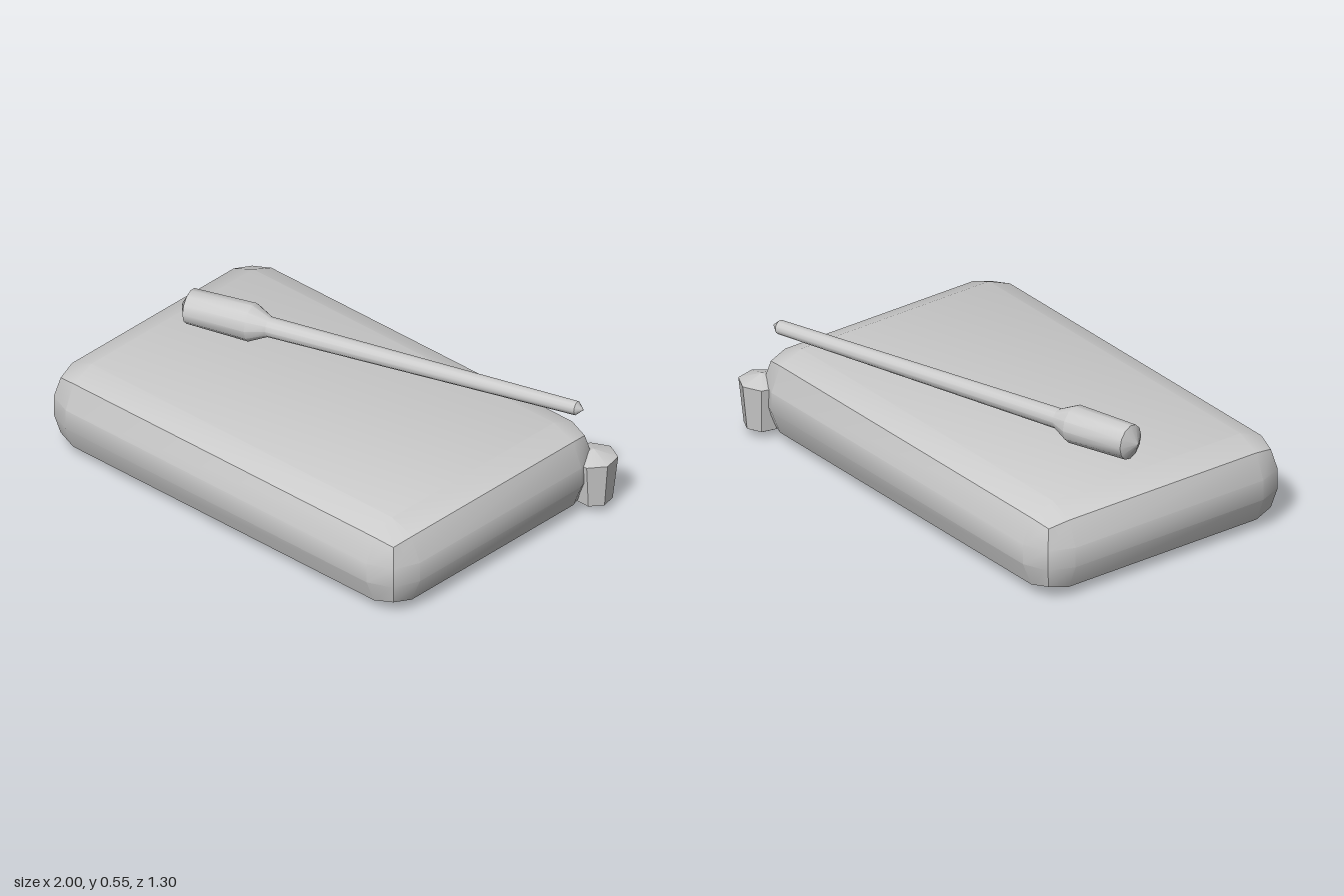
import * as THREE from 'three';
import { toCreasedNormals } from 'three/addons/utils/BufferGeometryUtils.js';
import { RoundedBoxGeometry } from 'three/addons/geometries/RoundedBoxGeometry.js';

// Turned solid from [radius, height] pairs, bottom to top, with sharp edges kept
function turned(profile, sides, start, crease) {
  const points = profile.map(([r, y]) => new THREE.Vector2(r, y));
  return toCreasedNormals(new THREE.LatheGeometry(points, sides, start), crease);
}

export function createModel() {
  const group = new THREE.Group();
  const grey = new THREE.MeshStandardMaterial({ color: 0xcccccc });
  grey.name = 'plain grey';

  const add = (name, geometry, x, y, z) => {
    const mesh = new THREE.Mesh(geometry, grey);
    mesh.name = name;
    mesh.position.set(x, y, z);
    group.add(mesh);
    return mesh;
  };

  // Slab with one bevel step on every edge
  const slab = new RoundedBoxGeometry(1.937, 0.387, 1.242, 1, 0.15);
  add('slab', toCreasedNormals(slab, Math.PI / 6), -0.031, 0.1965, 0.025);

  // Rod with a thick grip, lying diagonally on the slab
  const rod = turned([
    [0, -0.037], [0.073, 0], [0.079, 0.274], [0.042, 0.35], [0.029, 1.708], [0, 1.738],
  ], 12, 0, 0.6);
  rod.rotateZ(-Math.PI / 2);
  add('rod', rod, -0.765, 0.471, 0.01).rotation.y = 0.3;

  // Seven-sided tapered peg at the back left corner
  const peg = turned([
    [0, 0], [0.075, 0.04], [0.097, 0.235], [0, 0.268],
  ], 7, Math.PI, Math.PI / 6);
  add('peg', peg, 0.905, 0, -0.553);

  return group;
}
